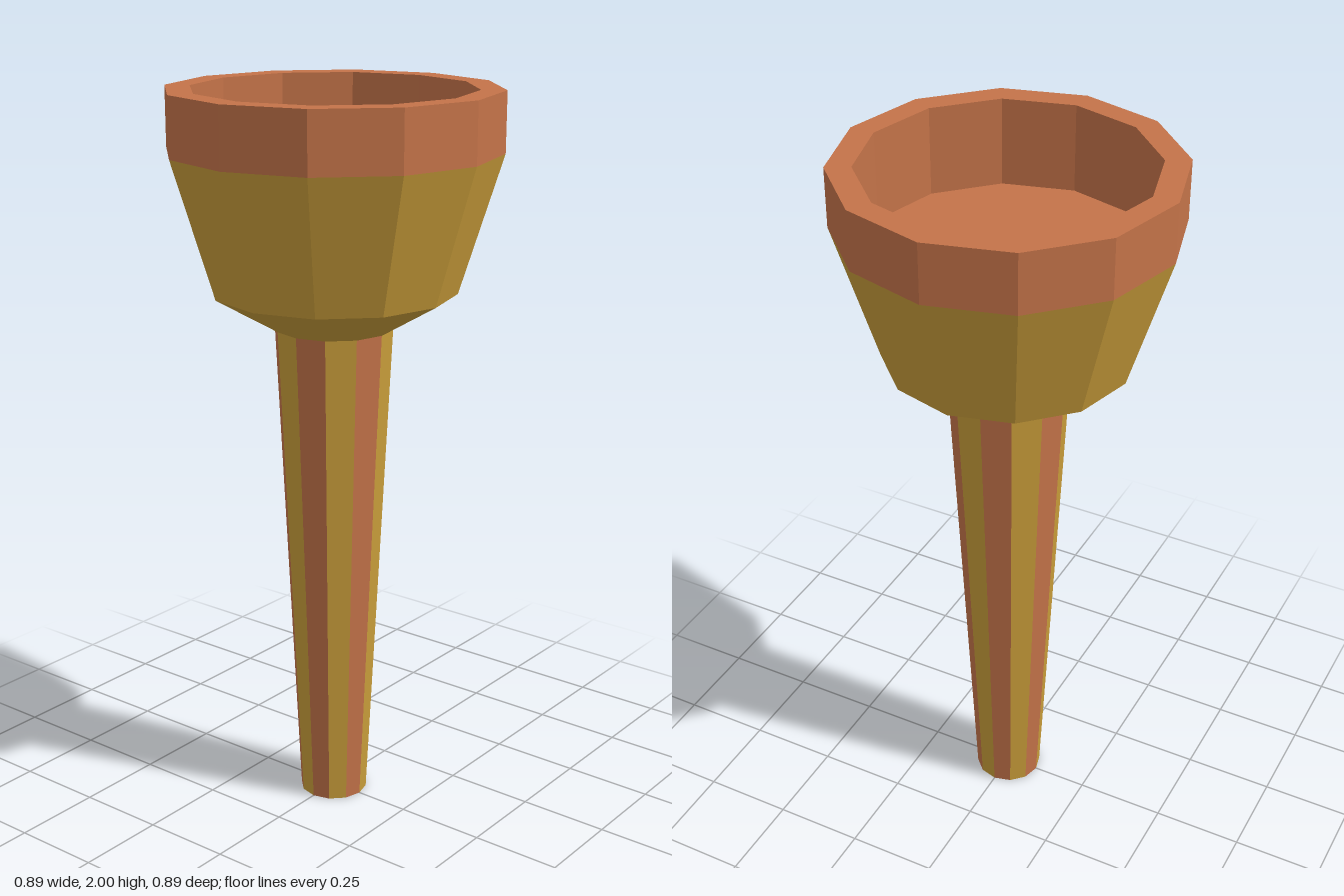
import * as THREE from 'three';

const SIDES = 12;

function material(name, color) {
  const m = new THREE.MeshStandardMaterial({ color });
  m.name = name;
  return m;
}

// Gives every face its own flat normal
function faceted(geometry) {
  const flat = geometry.toNonIndexed();
  flat.computeVertexNormals();
  return flat;
}

function lathe(name, profile, mat) {
  const points = profile.map(([r, y]) => new THREE.Vector2(r, y));
  const mesh = new THREE.Mesh(faceted(new THREE.LatheGeometry(points, SIDES)), mat);
  mesh.name = name;
  return mesh;
}

export function createModel() {
  const copper = material('copper', 0xc47349);
  const gold = material('gold', 0xc99d3a);
  const group = new THREE.Group();
  group.name = 'torch';

  // Tapered handle with alternating stripes, one per side
  const shaft = faceted(new THREE.CylinderGeometry(0.16, 0.094, 1.37, SIDES));
  shaft.translate(0, 1.37 / 2, 0);
  shaft.clearGroups();
  for (let i = 0; i < SIDES; i++) shaft.addGroup(i * 6, 6, i % 2);
  shaft.addGroup(SIDES * 6, SIDES * 6, 0); // end caps
  const handle = new THREE.Mesh(shaft, [copper, gold]);
  handle.name = 'handle';
  group.add(handle);

  // Flared bowl
  group.add(lathe('bowl', [[0.16, 1.37], [0.33, 1.47], [0.444, 1.84]], gold));

  // Rim band, its top ring, the inner wall and the recessed floor
  group.add(lathe('rim', [[0.444, 1.84], [0.444, 2], [0.377, 2], [0.377, 1.76], [0, 1.76]], copper));

  return group;
}
